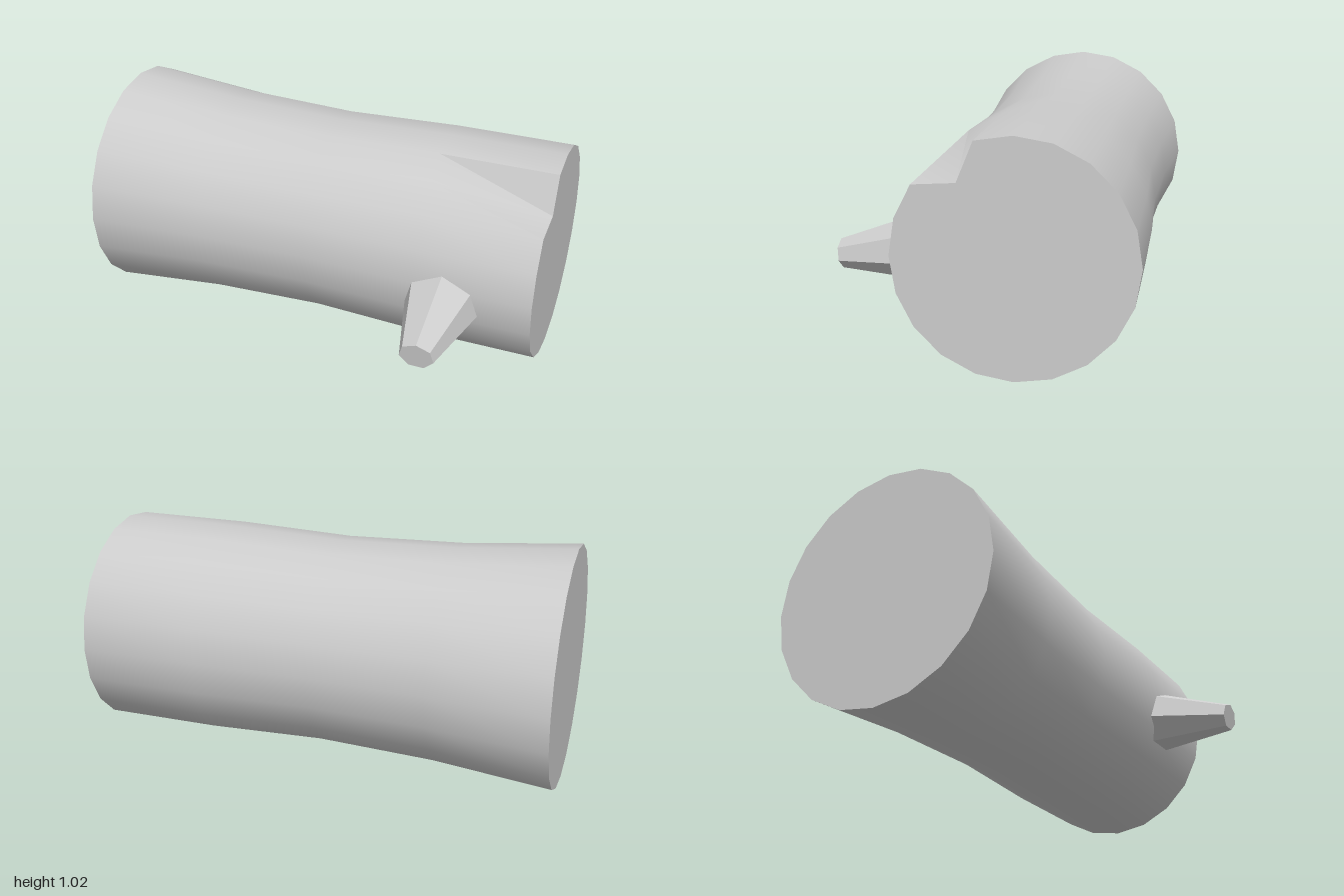
import * as THREE from 'three';
import { toCreasedNormals } from 'three/addons/utils/BufferGeometryUtils.js';

const SIDES = 20;
const CENTER_Y = 0.517, CENTER_Z = -0.135;

// Radius of the trunk at x = -1, -0.5, 0, 0.5, 1
const RADII = [0.511, 0.467, 0.45, 0.467, 0.467];

function createTrunk(material) {
  const geometry = new THREE.CylinderGeometry(1, 1, 2, SIDES, 4);
  geometry.rotateZ(-Math.PI / 2); // lay it along x
  const p = geometry.attributes.position;
  const notch = Math.PI / 5; // direction of the chipped rim point, from up towards the front
  for (let i = 0; i < p.count; i++) {
    const x = p.getX(i);
    let r = RADII[Math.round((x + 1) * 2)];
    const angle = Math.atan2(p.getZ(i), p.getY(i));
    const onRim = Math.hypot(p.getY(i), p.getZ(i)) > 0.5;
    // Chip in the rim of the +x end
    if (onRim && x > 0.9 && Math.abs(angle - notch) < 0.01) r = 0.355;
    p.setXYZ(i, x, CENTER_Y + p.getY(i) * r, CENTER_Z + p.getZ(i) * r);
  }
  const trunk = new THREE.Mesh(toCreasedNormals(geometry, Math.PI / 5), material);
  trunk.name = 'logTrunk';
  return trunk;
}

// Tapered seven-sided stub, flattened a little and drooping towards the front
function createBranch(material) {
  const geometry = new THREE.CylinderGeometry(0.073, 0.18, 0.4, 7, 1, false, Math.PI);
  geometry.rotateX(Math.PI / 2);
  geometry.scale(1, 0.82, 1);
  geometry.rotateX(0.14);
  geometry.translate(0.623, 0.422, 0.442);
  const branch = new THREE.Mesh(geometry, material);
  branch.name = 'branchStub';
  return branch;
}

export function createModel() {
  const group = new THREE.Group();
  group.name = 'log';
  const smooth = new THREE.MeshStandardMaterial({ color: 0xcccccc });
  const faceted = new THREE.MeshStandardMaterial({ color: 0xcccccc, flatShading: true });
  group.add(createTrunk(smooth), createBranch(faceted));
  return group;
}
